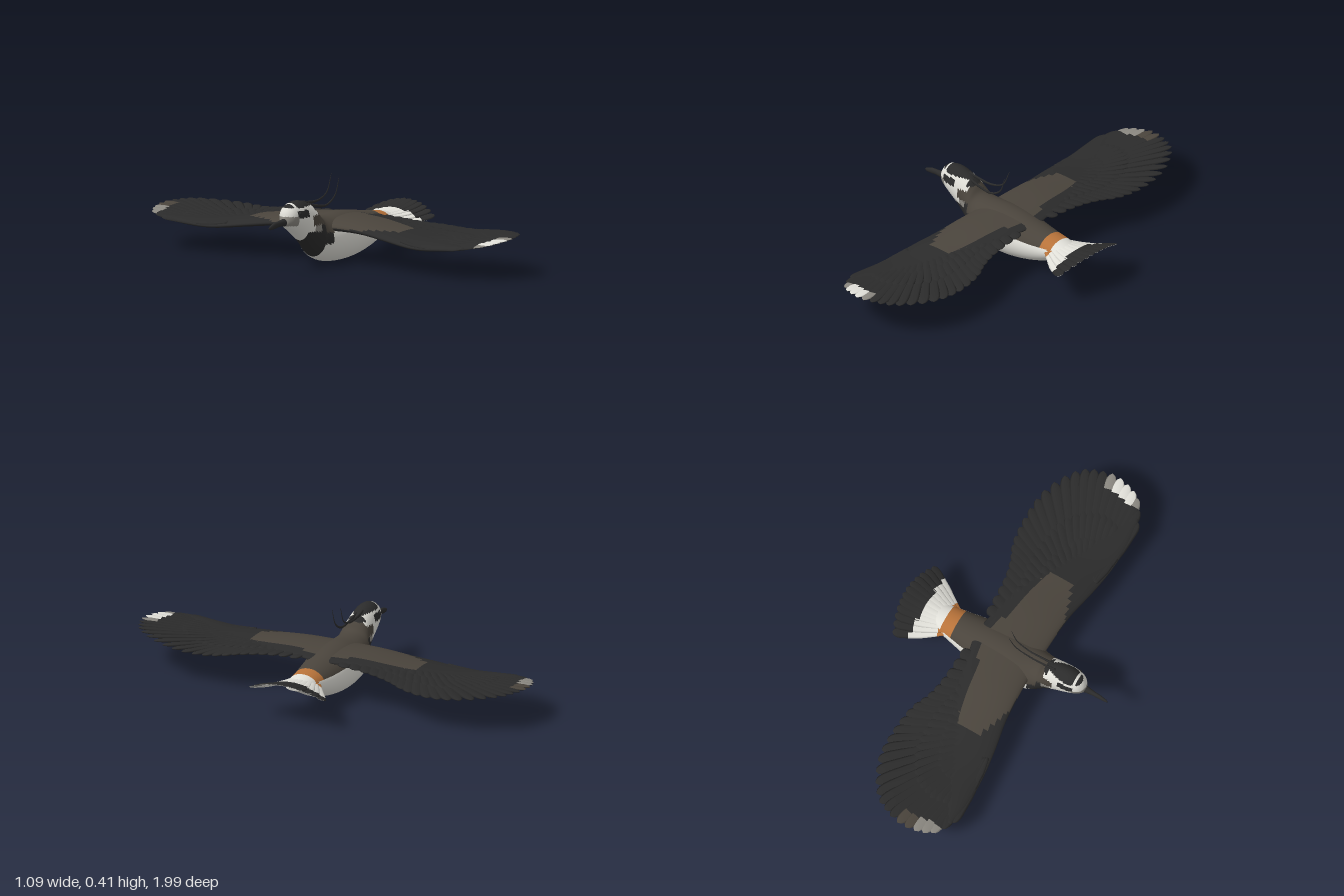
import * as THREE from 'three';

const mat = (name, color) => Object.assign(new THREE.MeshStandardMaterial({ color }), { name });
const V = (x, y, z) => new THREE.Vector3(x, y, z);
const spline = (pts) => new THREE.CatmullRomCurve3(pts, false, 'catmullrom', 0.5);
const UP = V(0, 1, 0);

export function createModel() {
  const materials = [
    mat('black plumage', 0x2b2b2b), mat('brown plumage', 0x4a443c), mat('white plumage', 0xe0dfd8),
    mat('rust plumage', 0xb8733a), mat('grey plumage', 0x8a8780),
  ];
  const [BLACK, BROWN, WHITE, RUST, GREY] = [0, 1, 2, 3, 4];
  const bird = new THREE.Group();
  bird.name = 'bird';

  // Skin closed rings into a smooth surface; colour(p, i, j) picks a material per face. side -1 mirrors z.
  function loft(name, rings, colour, parent = bird, side = 1) {
    const n = rings[0].length;
    const all = rings.flat();
    const bins = materials.map(() => []);
    const add = (i, j, ...t) => {
      const mid = V(0, 0, 0);
      t.forEach((k) => mid.addScaledVector(all[k], 1 / t.length));
      const c = colour(mid, i, j);
      for (let k = 1; k + 1 < t.length; k++) {
        bins[c].push(...(side > 0 ? [t[0], t[k], t[k + 1]] : [t[0], t[k + 1], t[k]]));
      }
    };
    for (let i = 0; i + 1 < rings.length; i++) {
      for (let j = 0; j < n; j++) {
        const a = i * n + j, b = i * n + (j + 1) % n;
        add(i, j, a, b, b + n, a + n);
      }
    }
    const first = [...Array(n).keys()];
    add(0, 0, ...first.slice().reverse());
    add(rings.length - 2, 0, ...first.map((k) => k + (rings.length - 1) * n));

    const g = new THREE.BufferGeometry();
    const pos = all.flatMap((p) => [p.x, p.y, p.z * side]);
    g.setAttribute('position', new THREE.Float32BufferAttribute(pos, 3));
    g.setIndex(bins.flat());
    let start = 0;
    bins.forEach((b, k) => {
      if (b.length) g.addGroup(start, b.length, k);
      start += b.length;
    });
    g.computeVertexNormals();
    const mesh = new THREE.Mesh(g, materials);
    mesh.name = name;
    parent.add(mesh);
    return mesh;
  }

  const ring = (n, c, u, v) => Array.from({ length: n }, (_, j) => {
    const a = (j / n) * Math.PI * 2;
    return c.clone().addScaledVector(u, Math.cos(a)).addScaledVector(v, Math.sin(a));
  });

  // Body and head: x, bottom, top, half width
  const stations = [
    [-0.437, 0.21, 0.24, 0.01], [-0.425, 0.2, 0.275, 0.03], [-0.4, 0.185, 0.303, 0.048],
    [-0.35, 0.153, 0.316, 0.06], [-0.3, 0.115, 0.31, 0.064], [-0.25, 0.07, 0.29, 0.07],
    [-0.22, 0.045, 0.26, 0.08], [-0.19, 0.025, 0.23, 0.092], [-0.13, 0.006, 0.222, 0.108],
    [-0.04, 0, 0.228, 0.116], [0.06, 0.008, 0.224, 0.114], [0.16, 0.03, 0.21, 0.1],
    [0.24, 0.058, 0.2, 0.085], [0.32, 0.1, 0.19, 0.07], [0.38, 0.13, 0.178, 0.055],
    [0.42, 0.148, 0.168, 0.035],
  ];
  const heights = spline(stations.map((s) => V(s[0], s[1], s[2])));
  const widths = spline(stations.map((s) => V(s[0], s[3], 0)));
  const bodyRings = Array.from({ length: 121 }, (_, i) => {
    const h = heights.getPoint(i / 120), w = widths.getPoint(i / 120).y;
    return ring(64, V(h.x, (h.y + h.z) / 2, 0), V(0, (h.z - h.y) / 2, 0), V(0, 0, w));
  });
  const bodyColour = ({ x, y }) => {
    if (x > 0.25) return x < 0.315 && y > 0.158 ? RUST : WHITE;
    if (x > -0.21) return y > 0.155 ? BROWN : y > 0.1 && x < -0.17 ? BLACK : WHITE;
    if (y > 0.288 && x > -0.385) return BLACK; // crown
    if (x > -0.25 && y > 0.262) return BLACK;
    if (x < -0.395 && y > 0.29) return BLACK; // forehead
    if (x < -0.385 && y < 0.25 && y > 0.205) return GREY; // lores
    if (x > -0.39 && x < -0.315 && y > 0.24 && y < 0.275) return BLACK; // eye stripe
    if (x > -0.315 && x < -0.235 && y > 0.242) return WHITE; // ear patch
    if (x > -0.285 && y > 0.195) return BROWN; // nape
    if (x > -0.275 && x < -0.235 && y > 0.165) return GREY;
    if (x > -0.315 && y < 0.165) return BLACK; // breast band
    return x > -0.235 ? BLACK : WHITE;
  };
  loft('body', bodyRings, bodyColour);

  // Beak, slightly drooping
  const beak = [[-0.55, 0.209, 0.004, 0.003], [-0.54, 0.21, 0.01, 0.006], [-0.51, 0.217, 0.015, 0.009],
    [-0.48, 0.221, 0.014, 0.01], [-0.45, 0.223, 0.016, 0.014], [-0.41, 0.225, 0.022, 0.022]];
  loft('beak', beak.map(([x, y, h, w]) => ring(16, V(x, y, 0), V(0, h, 0), V(0, 0, w))), () => BLACK);

  // Eyes
  for (const s of [1, -1]) {
    const eye = new THREE.Mesh(new THREE.SphereGeometry(0.009, 16, 12), materials[BLACK]);
    eye.name = 'eye';
    eye.position.set(-0.375, 0.262, s * 0.049);
    bird.add(eye);
  }

  // Crest plumes, two thin curved wisps
  const plumes = [
    [V(-0.28, 0.298, -0.012), V(-0.22, 0.291, -0.014), V(-0.14, 0.293, -0.015), V(-0.07, 0.325, -0.017), V(-0.033, 0.405, -0.02)],
    [V(-0.26, 0.288, 0.012), V(-0.2, 0.275, 0.015), V(-0.12, 0.27, 0.017), V(-0.055, 0.31, 0.018), V(-0.026, 0.39, 0.02)],
  ];
  for (const pts of plumes) {
    const path = spline(pts);
    loft('crestPlume', Array.from({ length: 25 }, (_, i) => {
      const t = i / 24, r = 0.001 + 0.008 * (1 - t) ** 0.8;
      const u = V(0, 0, 1).cross(path.getTangent(t)).normalize();
      return ring(8, path.getPoint(t), u.multiplyScalar(r), V(0, 0, r * 0.6));
    }), () => BLACK);
  }

  // One lens-shaped feather; at(t) is its shaft, roll tips it so neighbours shingle
  function feather(name, at, width, thick, colour, parent, side = 1, roll = 0.12) {
    const dir = at(1).sub(at(0)).setY(0).normalize();
    const u = UP.clone().cross(dir);
    const across = u.clone().addScaledVector(UP, roll).normalize();
    const N = 14;
    const rings = Array.from({ length: N + 1 }, (_, i) => {
      const t = 1 - (1 - i / N) ** 1.5;
      const round = t > 0.86 ? Math.sqrt(Math.max(0.004, 1 - ((t - 0.86) / 0.14) ** 2)) : 1;
      const w = width * Math.min(1, 0.45 + t) * round;
      return ring(8, at(t), across.clone().multiplyScalar(w), V(0, thick * Math.max(0.3, round), 0));
    });
    loft(name, rings, (p, i, j) => colour(p, j < 4), parent, side);
  }

  // Wing surface height
  const rise = spline([[0, 0.18], [0.2, 0.178], [0.4, 0.16], [0.6, 0.143], [0.8, 0.156], [1, 0.172]]
    .map(([z, y]) => V(z, y, 0)));
  const wingY = (x, z) => rise.getPoint(Math.min(1, z)).y + 0.075 * x + 0.01 * (1 - (x / 0.24) ** 2);

  // Brown shoulder patch on top of the wing
  const inPatch = ({ x, z }) => z < 0.425 && x > (z < 0.25 ? -0.172 : -0.172 + (z - 0.25) * 0.32)
    && x < (z < 0.26 ? 0.075 - (z - 0.12) * 0.3 : z < 0.36 ? 0.035 : 0.035 - (z - 0.36) * 0.5);

  const tips = spline([[-0.212, 0.86], [-0.165, 0.95], [-0.1, 0.985], [-0.02, 0.998], [0.06, 0.98], [0.13, 0.945],
    [0.19, 0.87], [0.235, 0.77], [0.248, 0.67], [0.246, 0.57], [0.232, 0.48], [0.2, 0.41], [0.178, 0.33],
    [0.168, 0.24], [0.165, 0.13]].map(([x, z]) => V(x, 0, z)));
  const roots = spline([[-0.195, 0.5], [-0.165, 0.51], [-0.13, 0.5], [-0.1, 0.46], [-0.06, 0.4], [-0.03, 0.28], [0, 0.1]]
    .map(([x, z]) => V(x, 0, z)));
  // Arm outline: z, leading x, trailing x, half thickness
  const armOutline = [[0.03, -0.17, 0.15, 0.03], [0.15, -0.172, 0.125, 0.026], [0.3, -0.182, 0.1, 0.022],
    [0.45, -0.208, 0.06, 0.019], [0.6, -0.226, 0, 0.016], [0.75, -0.23, -0.11, 0.012], [0.87, -0.215, -0.185, 0.006]];
  const armEdges = spline(armOutline.map(([z, a, b]) => V(a, b, z)));
  const armThick = spline(armOutline.map((s) => V(s[3], 0, s[0])));

  for (const side of [1, -1]) {
    const wing = new THREE.Group();
    wing.name = side > 0 ? 'leftWing' : 'rightWing';
    bird.add(wing);

    // Fleshy leading arm with a tapered trailing edge
    const armRings = Array.from({ length: 49 }, (_, i) => {
      const e = armEdges.getPoint(i / 48), th = armThick.getPoint(i / 48).x;
      return Array.from({ length: 32 }, (_, j) => {
        const a = (j / 32) * Math.PI * 2, c = Math.cos(a);
        const x = (e.x + e.y) / 2 + c * (e.y - e.x) / 2;
        return V(x, wingY(x, e.z) + th * Math.sin(a) * (1 - 0.35 * c), e.z);
      });
    });
    loft('wingArm', armRings, (p, i, j) => (j < 16 && inPatch(p) ? BROWN : BLACK), wing, side);

    // Flight feathers, then two shorter rows of coverts laid over them
    const tipColours = side > 0 ? [BLACK, GREY, GREY, WHITE, WHITE, WHITE, GREY] : [BLACK, GREY, GREY, GREY, GREY, BROWN, BROWN];
    const rows = [['flightFeather', 27, 1, 0.031, 0], ['covert', 24, 0.62, 0.024, 0.006], ['smallCovert', 20, 0.38, 0.022, 0.01]];
    for (const [name, count, reach, width, lift] of rows) {
      for (let i = 0; i < count; i++) {
        const s = i / (count - 1);
        const root = roots.getPoint(s);
        const tip = root.clone().lerp(tips.getPoint(s), reach);
        const at = (t) => {
          const p = root.clone().lerp(tip, t);
          p.y = wingY(p.x, p.z) + lift * (1 - 0.5 * t);
          return p;
        };
        const colour = (p, top) => {
          if (!top) return BLACK;
          if (inPatch(p)) return BROWN;
          return reach === 1 && p.z > 0.915 && i < tipColours.length ? tipColours[i] : BLACK;
        };
        feather(name, at, width, 0.007, colour, wing, side);
      }
    }
  }

  // Arched tail fan, white with a dark end band on top
  const tail = new THREE.Group();
  tail.name = 'tail';
  bird.add(tail);
  for (let i = 0; i < 12; i++) {
    const s = (i / 11) * 2 - 1;
    const root = V(0.27, 0.176 - 0.025 * s * s, 0.055 * s);
    const tip = V(0.54 - 0.045 * s * s, 0.218 - 0.056 * s * s, 0.188 * s);
    const at = (t) => {
      const p = root.clone().lerp(tip, t);
      p.y -= 0.014 * Math.sin(Math.PI * t);
      return p;
    };
    const colour = (p, top) => (!top ? WHITE : p.x < 0.315 ? RUST : p.x < 0.425 ? WHITE : BLACK);
    feather('tailFeather', at, 0.025, 0.006, colour, tail, 1, s * 0.35);
  }
  return bird;
}
